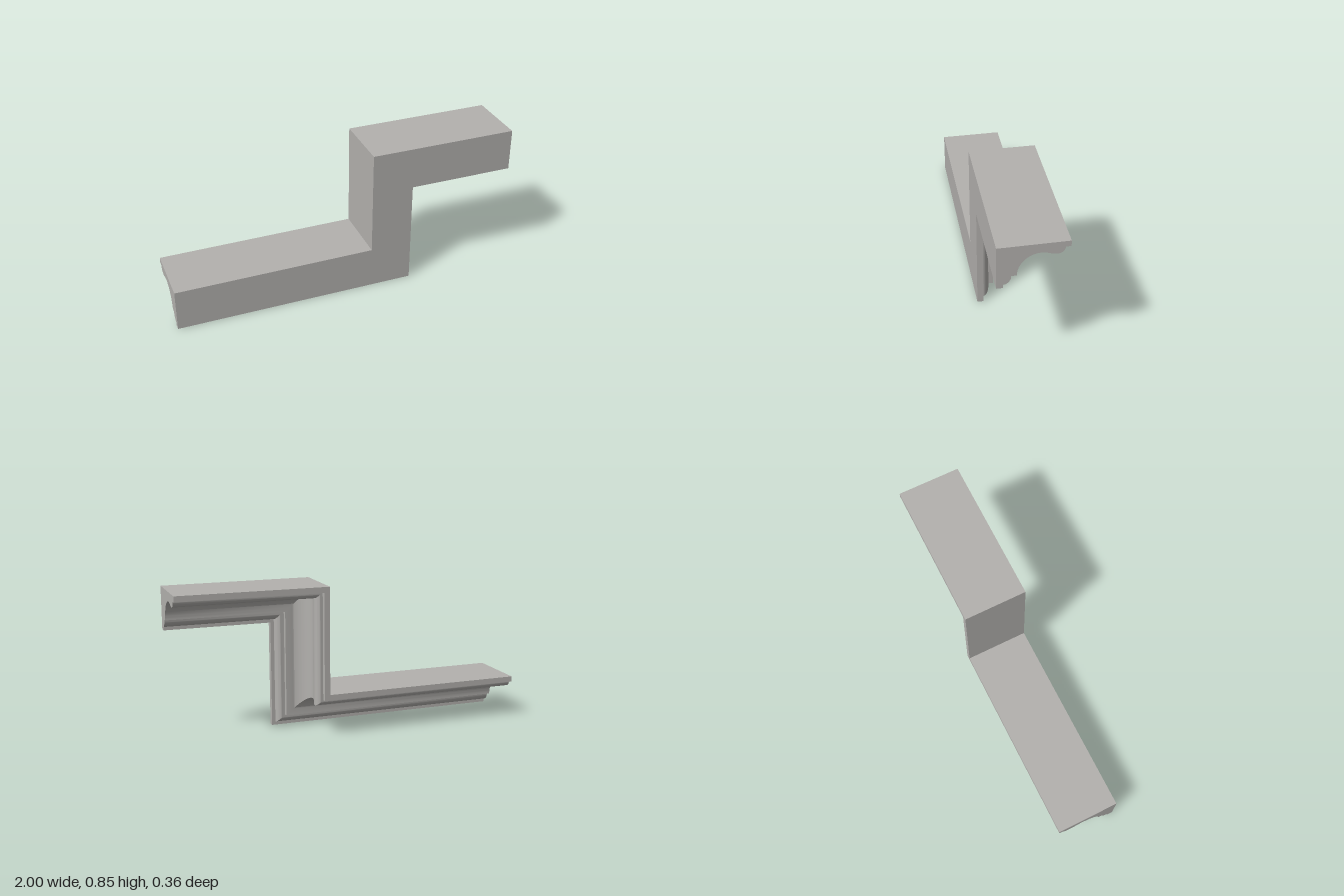
import * as THREE from 'three';
import { toCreasedNormals } from 'three/addons/utils/BufferGeometryUtils.js';

const TOP = 0.242; // height of the moulding section

// Cross-section seen from +x: u runs from front (-) to back (+), v is up
function mouldingProfile() {
  const s = new THREE.Shape();
  s.moveTo(-0.18, TOP);
  s.lineTo(-0.18, 0);
  s.lineTo(-0.146, 0);
  s.lineTo(-0.146, 0.02);
  s.absellipse(-0.146, 0.068, 0.039, 0.048, -Math.PI / 2, 0, false); // small bead
  s.lineTo(-0.08, 0.068); // fillet
  s.absellipse(0.035, 0.068, 0.115, 0.122, Math.PI, Math.PI / 2, true); // large cove
  s.bezierCurveTo(0.07, 0.19, 0.088, 0.173, 0.113, 0.173); // reverse curve
  s.bezierCurveTo(0.138, 0.173, 0.153, 0.19, 0.153, 0.21);
  s.lineTo(0.18, 0.21); // rear fillet
  s.lineTo(0.18, TOP);
  const pts = s.getPoints(12);
  return pts.filter((p, i) => i === 0 || p.distanceTo(pts[i - 1]) > 1e-5);
}

// Stepped path of the upper edge; dx, dy are the mitre directions of the depth
const stations = [
  { x: -1, y: 0.242, dx: 0, dy: -1 },
  { x: 0.15, y: 0.242, dx: 1, dy: -1 },
  { x: 0.15, y: 0.85, dx: 1, dy: -1 },
  { x: 1, y: 0.85, dx: 0, dy: -1 },
];

function sweepMoulding(profile) {
  const n = profile.length;
  const positions = [];
  const index = [];
  for (const { x, y, dx, dy } of stations) {
    for (const p of profile) {
      const d = TOP - p.y;
      positions.push(x + dx * d, y + dy * d, -p.x);
    }
  }
  // mitred runs
  for (let i = 0; i < stations.length - 1; i++) {
    for (let j = 0; j < n; j++) {
      const k = (j + 1) % n;
      const a = i * n, b = a + n;
      index.push(a + j, a + k, b + k, a + j, b + k, b + j);
    }
  }
  // end caps
  const last = (stations.length - 1) * n;
  for (const [a, b, c] of THREE.ShapeUtils.triangulateShape(profile, [])) {
    index.push(last + a, last + b, last + c, a, c, b);
  }
  const geometry = new THREE.BufferGeometry();
  geometry.setAttribute('position', new THREE.Float32BufferAttribute(positions, 3));
  geometry.setIndex(index);
  return toCreasedNormals(geometry, 0.5);
}

export function createModel() {
  const plaster = new THREE.MeshStandardMaterial({ color: 0xb3b1ae });
  plaster.name = 'warm grey plaster';

  const moulding = new THREE.Mesh(sweepMoulding(mouldingProfile()), plaster);
  moulding.name = 'steppedMoulding';

  const group = new THREE.Group();
  group.name = 'steppedCornice';
  group.add(moulding);
  return group;
}
